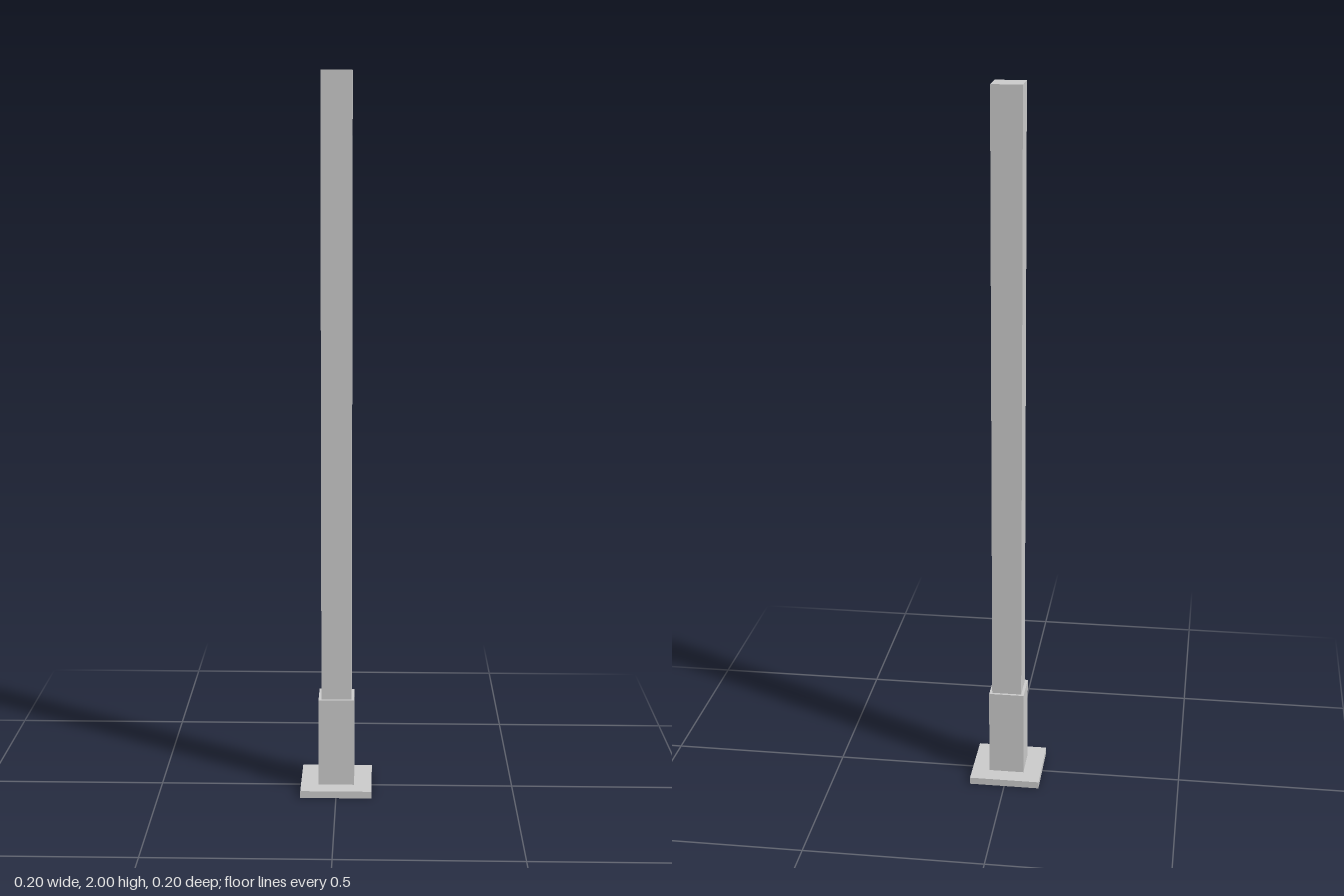
import * as THREE from 'three';

const material = new THREE.MeshStandardMaterial({ color: 0xcccccc, flatShading: true, side: THREE.DoubleSide });

// Square block standing between two heights
function block(name, width, bottom, top) {
  const mesh = new THREE.Mesh(new THREE.BoxGeometry(width, top - bottom, width), material);
  mesh.name = name;
  mesh.position.y = (bottom + top) / 2;
  return mesh;
}

// Square base cover: top plate and four skirts, open underneath
function baseCover(width, height) {
  const cover = new THREE.Group();
  cover.name = 'baseCover';
  const plate = new THREE.Mesh(new THREE.PlaneGeometry(width, width), material);
  plate.name = 'basePlate';
  plate.rotation.x = -Math.PI / 2;
  plate.position.y = height;
  cover.add(plate);
  for (let i = 0; i < 4; i++) {
    const angle = (i * Math.PI) / 2;
    const skirt = new THREE.Mesh(new THREE.PlaneGeometry(width, height), material);
    skirt.name = 'baseSkirt';
    skirt.rotation.y = angle;
    skirt.position.set((Math.sin(angle) * width) / 2, height / 2, (Math.cos(angle) * width) / 2);
    cover.add(skirt);
  }
  return cover;
}

export function createModel() {
  const model = new THREE.Group();
  model.name = 'squarePost';
  model.add(
    baseCover(0.2, 0.02),
    block('sleeve', 0.1, 0.02, 0.27),
    block('post', 0.084, 0.005, 2),
  );
  return model;
}
